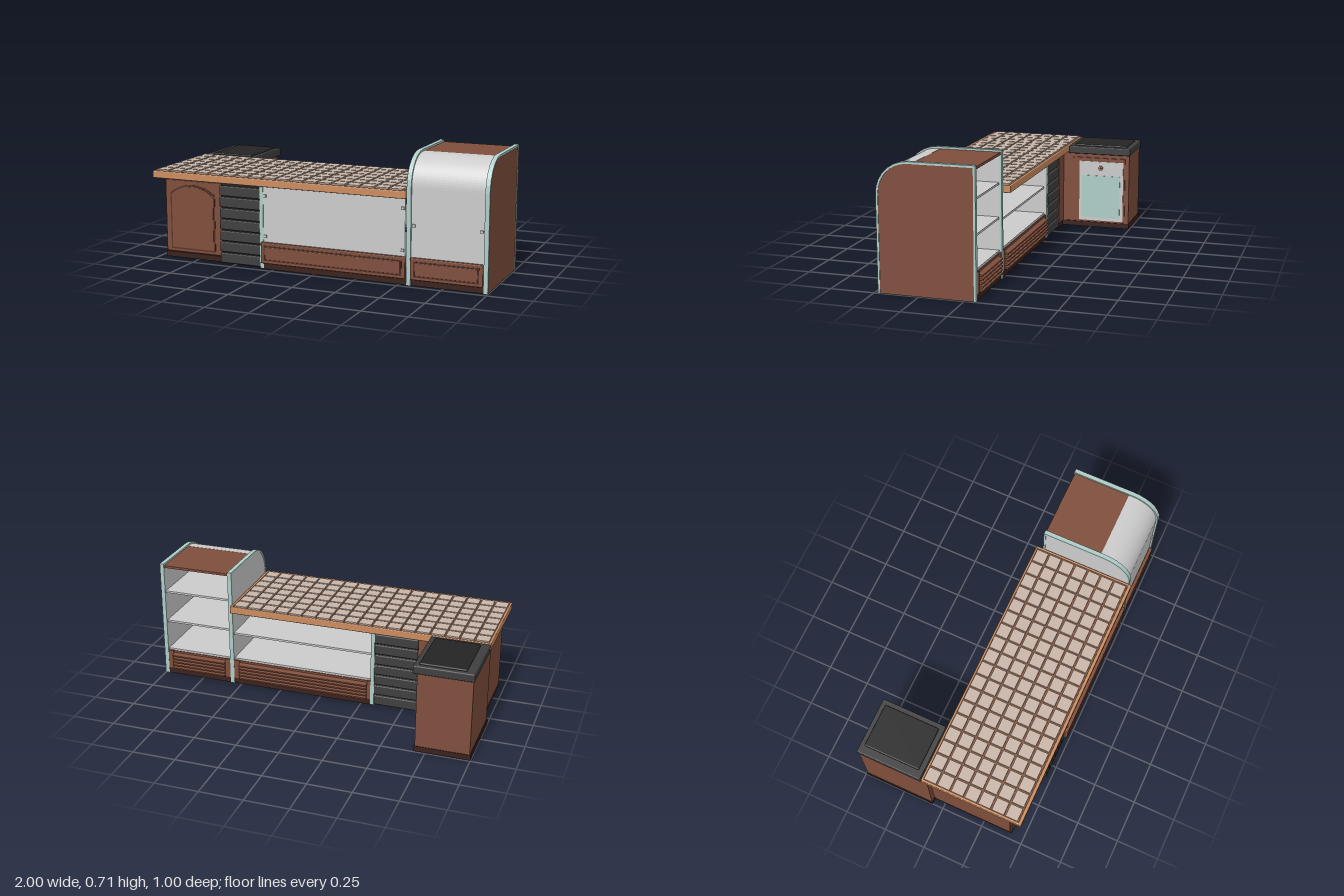
import * as THREE from 'three';
import { mergeGeometries } from 'three/addons/utils/BufferGeometryUtils.js';
import { RoundedBoxGeometry } from 'three/addons/geometries/RoundedBoxGeometry.js';

const mat = (color) => new THREE.MeshStandardMaterial({ color, side: THREE.DoubleSide });

export function createModel() {
  const root = new THREE.Group();
  const M = {
    wood: mat(0x7f4e3c), groove: mat(0x5a3429), kick: mat(0x3a211b), oak: mat(0xcb8c5f),
    grout: mat(0x80573f), tile: mat(0xc9b5a8), teal: mat(0xaecdc8), grey: mat(0xcccccc),
    dark: mat(0x3f3f40), black: mat(0x242425),
  };

  const add = (name, geo, m, parent = root) => {
    const mesh = new THREE.Mesh(geo, m);
    mesh.name = name;
    parent.add(mesh);
    return mesh;
  };
  const group = (name) => {
    const g = new THREE.Group();
    g.name = name;
    root.add(g);
    return g;
  };
  // Box given by its limits on each axis, r rounds the edges
  const boxGeo = (x0, x1, y0, y1, z0, z1, r = 0) => {
    const s = [x1 - x0, y1 - y0, z1 - z0];
    const g = r ? new RoundedBoxGeometry(...s, 2, r) : new THREE.BoxGeometry(...s);
    return g.translate((x0 + x1) / 2, (y0 + y1) / 2, (z0 + z1) / 2);
  };
  const box = (name, m, lim, parent, r) => add(name, boxGeo(...lim, r), m, parent);
  // Outline in the z-y plane, extruded from x0 to x1
  const extrudeX = (pts, x0, x1) =>
    new THREE.ExtrudeGeometry(new THREE.Shape(pts), { depth: x1 - x0, bevelEnabled: false })
      .rotateY(-Math.PI / 2).translate(x1, 0, 0);
  const V = (x, y) => new THREE.Vector2(x, y);

  // ---- Tiled counter ----
  const counter = group('counter');
  box('counterSlab', M.grout, [-0.99, 0.53, 0.478, 0.514, -0.095, 0.48], counter);
  box('frontRail', M.oak, [-1, 0.543, 0.475, 0.518, 0.478, 0.497], counter, 0.006);
  box('backRail', M.oak, [-1, 0.543, 0.475, 0.518, -0.105, -0.092], counter, 0.005);
  for (const x of [-1, 0.53]) box('endRail', M.oak, [x, x + 0.013, 0.475, 0.518, -0.1, 0.49], counter, 0.005);
  const tiles = [];
  for (let i = 0; i < 18; i++) for (let j = 0; j < 7; j++) {
    const x = -0.986 + i * 0.0842, z = -0.09 + j * 0.0815;
    tiles.push(boxGeo(x, x + 0.074, 0.51, 0.523, z, z + 0.071));
  }
  add('tiles', mergeGeometries(tiles), M.tile, counter);

  // ---- Arched-door cabinet ----
  const cab = group('doorCabinet');
  box('cabinetBody', M.wood, [-0.965, -0.585, 0.03, 0.475, -0.07, 0.415], cab);
  box('cabinetPlinth', M.kick, [-0.965, -0.59, 0, 0.032, -0.065, 0.425], cab);
  box('door', M.wood, [-0.957, -0.592, 0.036, 0.46, 0.415, 0.43], cab, 0.004);
  const arch = (d) => {
    const s = new THREE.Shape();
    s.moveTo(-0.925 + d, 0.052 + d);
    s.lineTo(-0.635 - d, 0.052 + d);
    s.lineTo(-0.635 - d, 0.385 - d);
    s.quadraticCurveTo(-0.7 - d / 2, 0.437 - d, -0.78, 0.437 - d);
    s.quadraticCurveTo(-0.86 + d / 2, 0.437 - d, -0.925 + d, 0.385 - d);
    return s;
  };
  add('doorGroove', new THREE.ExtrudeGeometry(arch(0), { depth: 0.003, bevelEnabled: false }).translate(0, 0, 0.429), M.groove, cab);
  add('doorPanel', new THREE.ExtrudeGeometry(arch(0.01), { depth: 0.005, bevelEnabled: false }).translate(0, 0, 0.43), M.wood, cab);

  // ---- Drawer stack, faced on both sides ----
  const drawers = group('drawerStack');
  box('stackBody', M.black, [-0.58, -0.328, 0.005, 0.475, -0.05, 0.455], drawers);
  for (let i = 0; i < 7; i++) {
    const y = 0.01 + i * 0.0648;
    box('drawerFront', M.dark, [-0.583, -0.322, y, y + 0.058, 0.45, 0.472], drawers, 0.006);
    box('drawerBack', M.dark, [-0.583, -0.328, y, y + 0.058, -0.068, -0.045], drawers, 0.006);
  }

  // Base with a panelled front and a louvred back
  const base = (x0, x1, parent) => {
    box('plinth', M.kick, [x0, x1, 0, 0.035, -0.06, 0.468], parent);
    box('baseBody', M.wood, [x0, x1, 0.035, 0.15, -0.055, 0.47], parent);
    box('frontPanel', M.wood, [x0 + 0.003, x1 - 0.003, 0.037, 0.158, 0.468, 0.49], parent, 0.005);
    box('frontPanelGroove', M.groove, [x0 + 0.022, x1 - 0.022, 0.053, 0.141, 0.48, 0.491], parent);
    box('frontPanelField', M.wood, [x0 + 0.029, x1 - 0.029, 0.06, 0.134, 0.48, 0.494], parent, 0.004);
    for (let i = 0; i < 5; i++) {
      const y = 0.04 + i * 0.0205;
      const slat = [V(-0.05, y), V(-0.082, y), V(-0.082, y + 0.008), V(-0.05, y + 0.018)];
      add('louvreSlat', extrudeX(slat, x0 + 0.035, x1 - 0.035), M.wood, parent);
    }
    for (const x of [x0, x1 - 0.035]) box('louvreStile', M.wood, [x, x + 0.035, 0.035, 0.152, -0.064, -0.05], parent);
  };
  // Small clips holding a front pane
  const clips = (x0, x1, ys, z, parent) => {
    for (const x of [x0, x1]) for (const y of ys) box('paneClip', M.grey, [x - 0.008, x + 0.008, y - 0.008, y + 0.008, z - 0.006, z + 0.008], parent);
  };

  // ---- Low shelf unit under the counter ----
  const low = group('lowShelfUnit');
  base(-0.32, 0.545, low);
  box('lowPane', M.grey, [-0.308, 0.535, 0.15, 0.475, 0.462, 0.468], low);
  clips(-0.295, 0.522, [0.19, 0.42], 0.468, low);
  box('lowDivider', M.grey, [-0.326, -0.31, 0.005, 0.475, -0.058, 0.465], low);
  for (const [z0, z1] of [[-0.067, -0.057], [0.463, 0.472]]) box('dividerTrim', M.teal, [-0.329, -0.307, 0.005, 0.475, z0, z1], low);
  for (const y of [0.15, 0.315]) box('lowShelf', M.grey, [-0.31, 0.545, y, y + 0.012, -0.05, 0.462], low);

  // ---- Tall display unit with a curved front ----
  const tall = group('displayUnit');
  const curve = (d, n) => {
    const pts = [];
    for (let i = 0; i <= n; i++) {
      const a = (i / n) * Math.PI / 2, r = 0.178 - d;
      pts.push(V(0.3 + r * Math.cos(a), 0.535 + r * Math.sin(a)));
    }
    return pts;
  };
  const profile = (d) => [V(0.478 - d, 0), ...curve(d, 7), V(-0.065 + d, 0.713 - d), V(-0.065 + d, 0)];
  const trim = [...profile(0), ...profile(0.012).reverse()];
  const sides = [[0.545, M.grey, M.grey], [0.975, M.grey, M.wood]];
  for (const [x, inner, outer] of sides) {
    add('sideTrim', extrudeX(trim, x, x + 0.025), M.teal, tall);
    add('sidePanelInner', extrudeX(profile(0.011), x + 0.003, x + 0.012), inner, tall);
    add('sidePanelOuter', extrudeX(profile(0.011), x + 0.012, x + 0.022), outer, tall);
  }
  base(0.568, 0.977, tall);
  const pane = (d) => [V(0.478 - d, 0.15), ...curve(d, 20), V(0.28, 0.713 - d)];
  add('curvedPane', extrudeX([...pane(0.01), ...pane(0.016).reverse()], 0.568, 0.977), M.grey, tall);
  clips(0.585, 0.96, [0.33], 0.468, tall);
  box('roof', M.wood, [0.568, 0.977, 0.688, 0.702, -0.06, 0.285], tall);
  for (const [y, z] of [[0.15, 0.462], [0.335, 0.455], [0.525, 0.43]]) {
    box('displayShelf', M.grey, [0.568, 0.977, y, y + 0.012, -0.05, z], tall);
  }

  // ---- Side unit behind the counter, with a dark top ----
  const back = group('backUnit');
  box('backUnitBody', M.wood, [-0.995, -0.69, 0.03, 0.472, -0.49, -0.07], back);
  box('backUnitPlinth', M.kick, [-1, -0.685, 0, 0.032, -0.493, -0.065], back);
  box('darkTop', M.dark, [-1, -0.666, 0.469, 0.516, -0.498, -0.11], back, 0.006);
  box('topPad', M.black, [-0.953, -0.695, 0.51, 0.525, -0.472, -0.138], back, 0.007);
  box('unitFrame', M.wood, [-0.692, -0.684, 0.036, 0.445, -0.465, -0.135], back);
  box('headRail', M.wood, [-0.692, -0.679, 0.435, 0.444, -0.465, -0.135], back);
  box('hatch', M.grey, [-0.69, -0.68, 0.043, 0.422, -0.455, -0.175], back);
  box('hatchWindow', M.teal, [-0.682, -0.677, 0.062, 0.332, -0.435, -0.192], back);
  const knob = add('knob', new THREE.CylinderGeometry(0.014, 0.014, 0.012, 20), M.oak, back);
  knob.rotation.z = Math.PI / 2;
  knob.position.set(-0.674, 0.382, -0.312);
  const button = add('knobCentre', new THREE.CylinderGeometry(0.006, 0.006, 0.004, 16), M.groove, back);
  button.rotation.z = Math.PI / 2;
  button.position.set(-0.667, 0.382, -0.312);

  return root;
}
